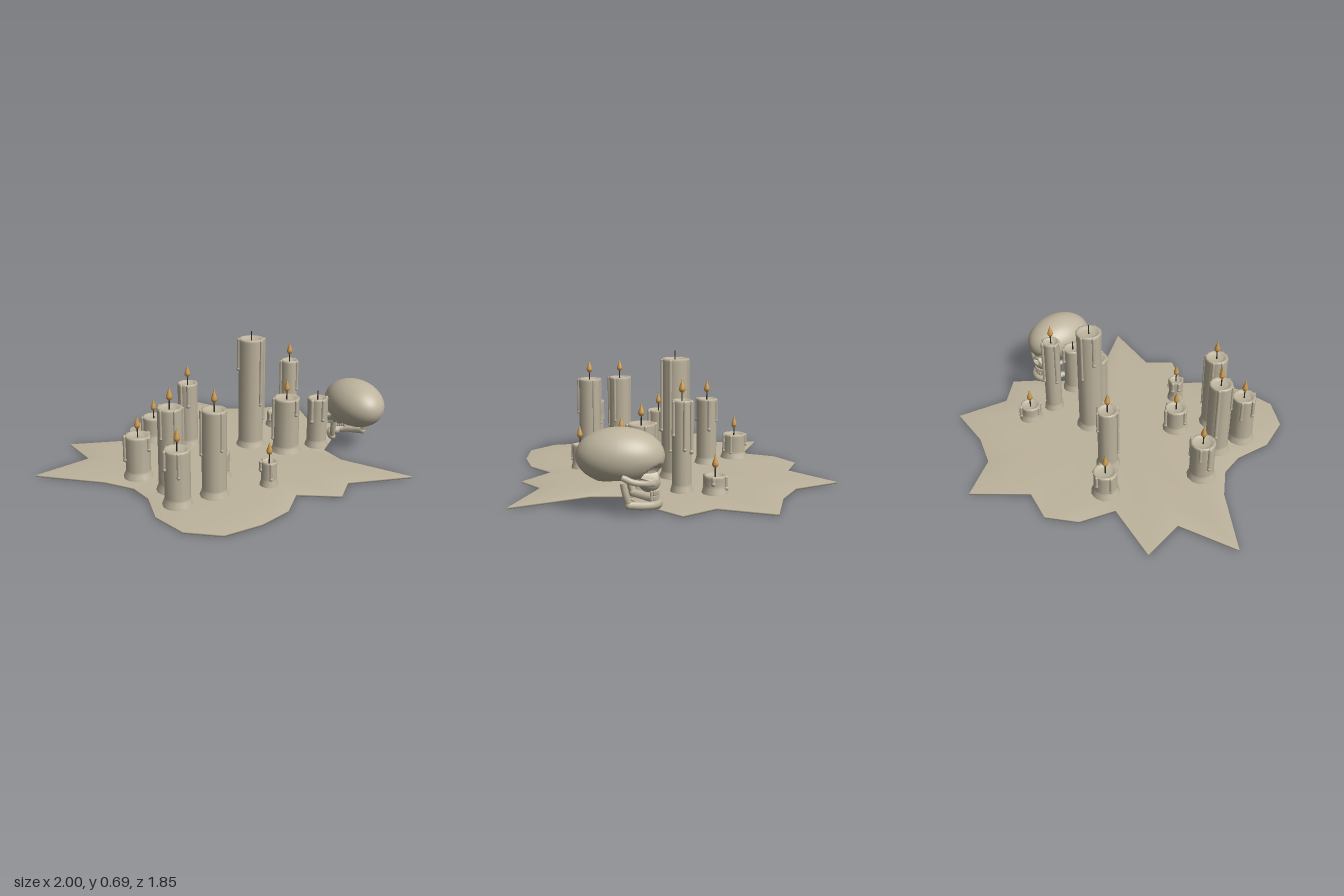
import * as THREE from 'three';

const wax = new THREE.MeshStandardMaterial({ color: 0xbdb39d });
wax.name = 'wax and bone';
const wickMat = new THREE.MeshStandardMaterial({ color: 0x2e2a26 });
wickMat.name = 'charred wick';
const flameMat = new THREE.MeshStandardMaterial({ color: 0xcc9a4c });
flameMat.name = 'flame amber';

function add(parent, name, geometry, material, x = 0, y = 0, z = 0) {
  const m = new THREE.Mesh(geometry, material);
  m.name = name;
  m.position.set(x, y, z);
  parent.add(m);
  return m;
}

const lathe = (pts, n) => new THREE.LatheGeometry(pts.map(p => new THREE.Vector2(p[0], p[1])), n);

function seeded(seed) {
  return () => {
    seed = (seed * 16807) % 2147483647;
    return seed / 2147483647;
  };
}

// Spilled wax: a jagged outline swept through concentric rings, top then underside
function puddleGeometry() {
  const outline = [
    [-.21, -.93], [.01, -.79], [.21, -.80], [.46, -.88], [.52, -.59], [.70, -.51], [.66, -.34],
    [.57, -.10], [.65, .04], [1, .265], [.65, .345], [.60, .505], [.37, .49], [.32, .67],
    [.19, .81], [.01, .92], [-.18, .89], [-.32, .74], [-.375, .54], [-.46, .425], [-.62, .35],
    [-1, .27], [-.755, .04], [-.895, -.165], [-.56, -.23], [-.58, -.43], [-.495, -.59], [-.31, -.62],
  ];
  const rings = [[.001, .022], [.5, .021], [.8, .018], [1, .009], [1, 0], [.92, .001], [.001, .004]];
  const n = outline.length, pos = [], idx = [];
  for (const [s, y] of rings) for (const [x, z] of outline) pos.push(x * s, y, z * s);
  for (let k = 0; k < rings.length - 1; k++) {
    for (let i = 0; i < n; i++) {
      const j = (i + 1) % n, a = k * n, b = a + n;
      idx.push(a + i, b + j, b + i, a + i, a + j, b + j);
    }
  }
  const g = new THREE.BufferGeometry();
  g.setAttribute('position', new THREE.Float32BufferAttribute(pos, 3));
  g.setIndex(idx);
  g.computeVertexNormals();
  return g;
}

// Candle with flared foot, dished top, wax drips, wick and optional flame
function candle(x, z, foot, top, lit, rand) {
  const g = new THREE.Group();
  g.name = 'candle';
  g.position.set(x, 0, z);
  const r = foot * .87;
  add(g, 'candleBody', lathe([
    [foot * 1.03, .016], [foot * .98, .03], [r * 1.01, .048], [r * .98, .06], [r * .98, top - .02],
    [r * 1.02, top - .01], [r * .97, top - .001], [r * .85, top], [r * .68, top - .006],
    [r * .5, top - .013], [0, top - .014],
  ], 12), wax);
  const drips = 4;
  for (let i = 0; i < drips; i++) {
    const a = (i + rand() * .7) / drips * Math.PI * 2;
    const len = (top - .04) * (.25 + .55 * rand()), rad = .007 + .004 * rand();
    const d = add(g, 'waxDrip', new THREE.CapsuleGeometry(rad, len, 4, 8), wax,
      Math.sin(a) * r, top - len / 2 - .009, Math.cos(a) * r);
    d.rotation.y = a;
    add(g, 'dripBead', new THREE.SphereGeometry(rad * 1.25, 8, 6), wax,
      Math.sin(a) * r, top - len - .01, Math.cos(a) * r);
  }
  add(g, 'wick', new THREE.CylinderGeometry(.003, .004, .055, 6), wickMat, 0, top + .012, 0);
  if (lit) {
    add(g, 'flame', lathe([
      [0, 0], [.009, .004], [.0155, .014], [.016, .022], [.011, .038], [.005, .055], [0, .073],
    ], 10), flameMat, 0, top + .033, 0);
  }
  return g;
}

// Pushes vertices backwards inside round hollows [x, y, radius, depth]
function dent(pos, hollows) {
  for (let i = 0; i < pos.count; i++) {
    if (pos.getZ(i) < .05) continue;
    for (const [hx, hy, rad, depth] of hollows) {
      const d = Math.hypot(pos.getX(i) - hx, pos.getY(i) - hy) / rad;
      if (d < 1) pos.setZ(i, pos.getZ(i) - depth * (1 - d ** 4));
    }
  }
}

function skull() {
  const g = new THREE.Group();
  g.name = 'skull';
  g.position.set(.743, 0, -.2);
  g.rotation.y = Math.atan2(-.45, -.89);

  // Braincase, with a hollow underside and eye sockets
  const c = new THREE.SphereGeometry(1, 72, 56);
  c.scale(.148, .133, .208);
  c.translate(0, .262, 0);
  const p = c.attributes.position;
  for (let i = 0; i < p.count; i++) {
    const x = p.getX(i), y = p.getY(i), z = p.getZ(i);
    if (y < .24) {
      const d = Math.hypot(x / .105, (z - .02) / .13);
      if (d < 1) p.setY(i, y + .075 * (1 - d * d));
    }
    if (z > .06 && y < .25) p.setX(i, x * (1 - 1.1 * (.25 - y) * Math.min(1, (z - .06) * 12)));
  }
  const sockets = [[-.053, .198, .036, .055], [.053, .198, .036, .055]];
  dent(p, sockets);
  c.computeVertexNormals();
  add(g, 'cranium', c, wax);

  // Upper jaw with nose opening
  const f = new THREE.SphereGeometry(1, 48, 36);
  f.scale(.064, .056, .055);
  f.translate(0, .147, .135);
  dent(f.attributes.position, [...sockets, [-.009, .158, .014, .03], [.009, .158, .014, .03]]);
  f.computeVertexNormals();
  add(g, 'upperJaw', f, wax);

  const tube = (name, pts, rad) => add(g, name, new THREE.TubeGeometry(
    new THREE.CatmullRomCurve3(pts.map(q => new THREE.Vector3(...q))), 32, rad, 8), wax);

  // Cheekbones and jaw branches, mirrored
  for (const s of [-1, 1]) {
    tube('cheekbone', [[s * .125, .19, .02], [s * .126, .168, .07], [s * .1, .155, .125], [s * .045, .14, .158]], .015);
    tube('jawBranch', [[s * .112, .16, .025], [s * .113, .11, .035], [s * .105, .055, .05]], .016);
    add(g, 'jawCorner', new THREE.SphereGeometry(.02, 12, 8), wax, s * .105, .055, .05);
  }

  // Lower jaw arch and chin
  tube('lowerJaw', [[-.105, .055, .05], [-.08, .045, .11], [-.045, .04, .16], [0, .038, .178],
    [.045, .04, .16], [.08, .045, .11], [.105, .055, .05]], .02);
  add(g, 'chin', new THREE.SphereGeometry(.026, 12, 10), wax, 0, .034, .172);

  // Two rows of teeth
  for (const [y, r] of [[.094, .052], [.07, .05]]) {
    for (let i = -4; i <= 4; i++) {
      const a = i * .27;
      const t = add(g, 'tooth', new THREE.CapsuleGeometry(.0075, .014, 3, 8), wax,
        Math.sin(a) * r, y, .124 + Math.cos(a) * r);
      t.rotation.y = a;
    }
  }
  return g;
}

export function createModel() {
  const model = new THREE.Group();
  model.name = 'candlesAndSkull';
  add(model, 'waxPuddle', puddleGeometry(), wax);

  // x, z, foot radius, top height, lit
  const candles = [
    [.315, -.48, .066, .11, true], [.375, -.325, .057, .48, true], [.15, -.16, .082, .652, false],
    [.348, -.075, .085, .335, true], [.53, -.162, .066, .305, false], [-.415, -.24, .076, .16, true],
    [-.21, -.165, .066, .39, true], [-.448, .287, .078, .25, true], [-.265, .45, .074, .463, true],
    [-.22, .617, .076, .31, true], [-.043, .515, .074, .475, true], [-.032, .293, .074, .165, true],
    [.235, .392, .048, .152, true],
  ];
  const rand = seeded(4721);
  for (const [x, z, r, h, lit] of candles) model.add(candle(x, z, r, h, lit, rand));
  model.add(skull());
  return model;
}
